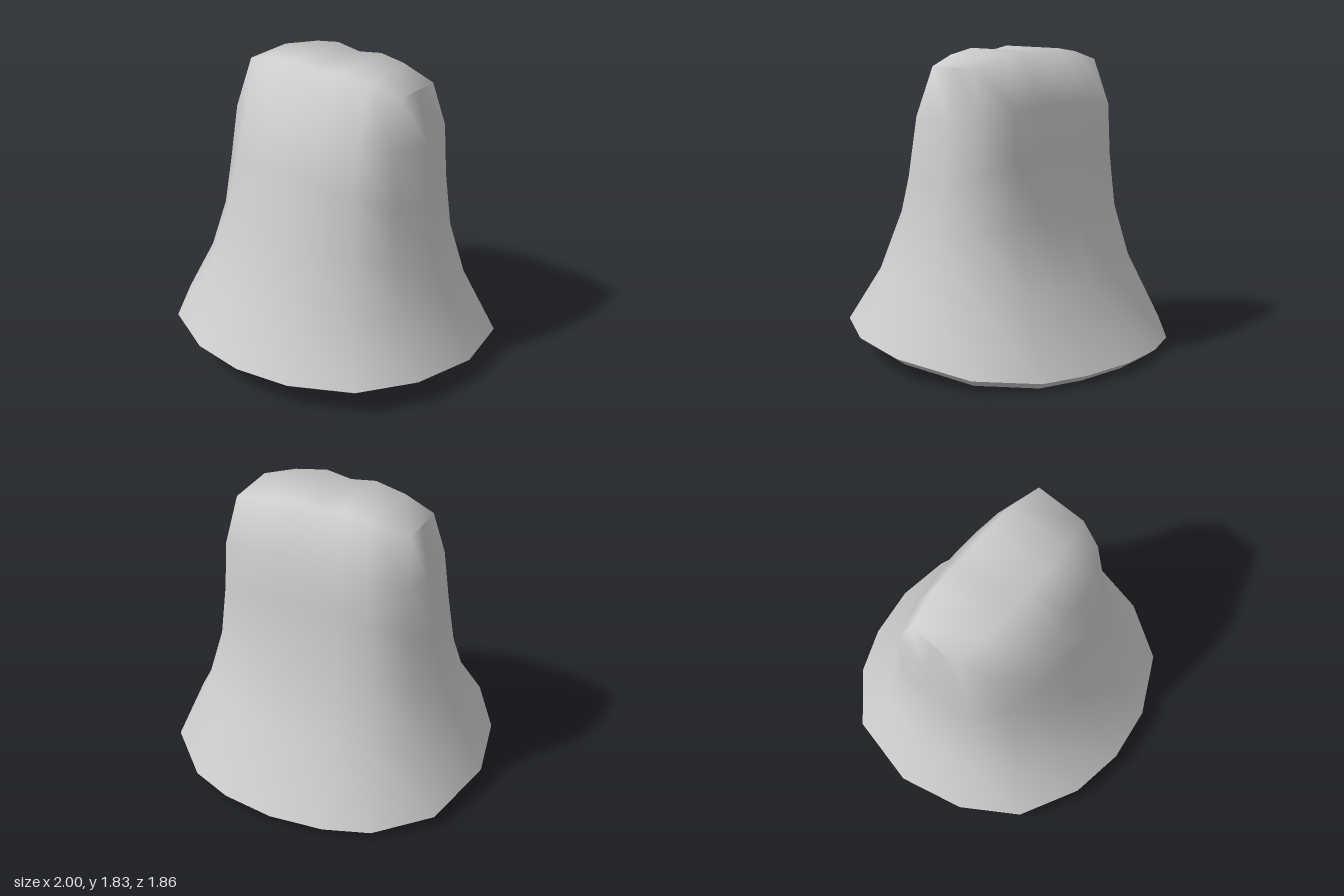
import * as THREE from 'three';

// Half outlines (back -> +x side -> front), unit size: round at the hem, boxy at the top
const ROUND = { x: [0, 0.33, 0.6, 0.89, 1, 0.91, 0.7, 0.34, 0], z: [-1, -0.95, -0.83, -0.53, 0, 0.42, 0.76, 0.95, 1] };
const BOXY = { x: [0, 0.29, 0.58, 1, 1, 1, 0.65, 0.29, 0], z: [-1, -1, -1, -0.84, 0, 0.73, 0.91, 1, 1] };
const TOP_Y = [1.8, 1.825, 1.8, 1.74, 1.74, 1.74, 1.795, 1.825, 1.8];
const HEM_Y = [0.05, 0.045, 0.04, 0.07, 0.125, 0.148, 0.165, 0.165, 0.165];
const N = 16;

// Cross-sections: half width, front z, back z, centre z, side height, front/back height, boxiness
const SECTIONS = [
  { w: 1.0, front: 0.925, back: -0.93, mid: -0.05, box: 0, ys: HEM_Y },
  { w: 0.8, front: 0.73, back: -0.645, mid: -0.05, side: 0.51, end: 0.46, box: 0.12 },
  { w: 0.7, front: 0.565, back: -0.5, mid: -0.06, side: 0.79, end: 0.87, box: 0.28 },
  { w: 0.65, front: 0.47, back: -0.43, mid: -0.08, side: 1.06, end: 1.255, box: 0.45 },
  { w: 0.615, front: 0.375, back: -0.4, mid: -0.1, side: 1.41, end: 1.515, box: 0.6 },
  { w: 0.55, front: 0.155, back: -0.26, mid: -0.07, box: 1, ys: TOP_Y },
];

// Closed loop of 16 points; inset shrinks it and drop lowers it
function ring(s, inset = 0, drop = 0) {
  const points = [];
  for (let i = 0; i < N; i++) {
    const j = i <= 8 ? i : N - i;
    const ux = THREE.MathUtils.lerp(ROUND.x[j], BOXY.x[j], s.box);
    const uz = THREE.MathUtils.lerp(ROUND.z[j], BOXY.z[j], s.box);
    const reach = uz > 0 ? s.front - inset - s.mid : s.mid - s.back - inset;
    const y = s.ys ? s.ys[j] : s.side + (s.end - s.side) * uz * uz;
    points.push([(i <= 8 ? 1 : -1) * ux * (s.w - inset), y - drop, s.mid + uz * reach]);
  }
  return points;
}

// Skin between stacked rings, optionally closed at the top, optionally facing inward
function skin(rings, { cap = false, inward = false } = {}) {
  const index = [];
  const tri = (a, b, c) => (inward ? index.push(a, c, b) : index.push(a, b, c));
  const quad = (a, b, c, d) => { tri(a, b, c); tri(a, c, d); };
  for (let r = 0; r < rings.length - 1; r++) {
    for (let j = 0; j < N; j++) {
      const k = (j + 1) % N;
      quad(r * N + j, (r + 1) * N + j, (r + 1) * N + k, r * N + k);
    }
  }
  if (cap) {
    const base = (rings.length - 1) * N;
    const back = [13, 14, 15, 0, 1, 2, 3], front = [11, 10, 9, 8, 7, 6, 5];
    for (let i = 0; i < 6; i++) quad(base + back[i], base + front[i], base + front[i + 1], base + back[i + 1]);
    tri(base + 3, base + 5, base + 4);
    tri(base + 13, base + 12, base + 11);
  }
  const geometry = new THREE.BufferGeometry();
  geometry.setAttribute('position', new THREE.Float32BufferAttribute(rings.flat(2), 3));
  geometry.setIndex(index);
  geometry.computeVertexNormals();
  return geometry;
}

export function createModel() {
  const group = new THREE.Group();
  group.name = 'flaredGarment';
  const cloth = new THREE.MeshStandardMaterial({ color: 0xcccccc });
  cloth.name = 'lightGreyCloth';
  const add = (name, geometry) => {
    const mesh = new THREE.Mesh(geometry, cloth);
    mesh.name = name;
    group.add(mesh);
  };

  const outer = SECTIONS.map((s) => ring(s));
  const inner = SECTIONS.map((s) => ring(s, 0.06, 0.045));

  // Outer body with closed shoulders
  add('outerShell', skin(outer, { cap: true }));
  // Bevelled hem between the outer and inner skins
  add('hem', skin([inner[0], outer[0]]));
  // Hollow inside
  add('innerLining', skin(inner, { cap: true, inward: true }));
  return group;
}
